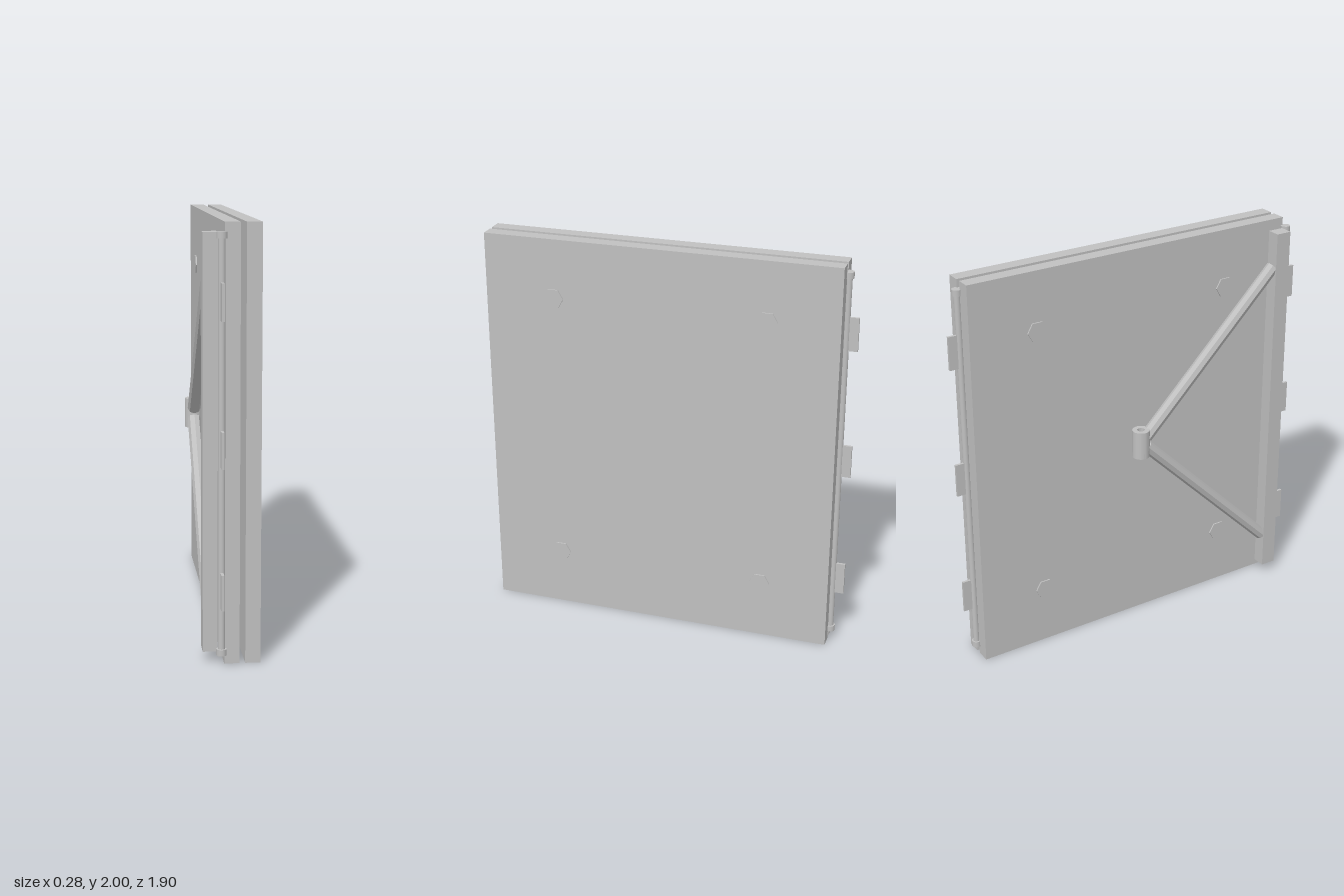
import * as THREE from 'three';

const metal = new THREE.MeshStandardMaterial({ color: 0xc0c0c0 });

function add(parent, name, geometry, x = 0, y = 0, z = 0) {
  const mesh = new THREE.Mesh(geometry, metal);
  mesh.name = name;
  mesh.position.set(x, y, z);
  parent.add(mesh);
  return mesh;
}

// Straight prism with hard facets
function prism(radius, height, sides) {
  const g = new THREE.CylinderGeometry(radius, radius, height, sides).toNonIndexed();
  g.computeVertexNormals();
  return g;
}

// Full-height pin with end caps and three leaves
function hinge(name, x, z) {
  const group = new THREE.Group();
  group.name = name;
  add(group, 'hingePin', new THREE.CylinderGeometry(0.016, 0.016, 1.89, 16), 0, 1.003);
  for (const y of [0.06, 1.945]) add(group, 'pinCap', new THREE.CylinderGeometry(0.024, 0.024, 0.03, 16), 0, y);
  for (const y of [0.353, 1.003, 1.657]) add(group, 'hingeLeaf', new THREE.BoxGeometry(0.013, 0.166, 0.118), 0, y);
  group.position.set(x, 0, z);
  return group;
}

// Hexagonal bolt heads on an outer face
function bolts(parent, x) {
  for (const y of [0.303, 1.702]) for (const z of [-0.535, 0.535]) {
    const bolt = add(parent, 'boltHead', prism(0.0525, 0.02, 6), x, y, z);
    bolt.rotation.z = Math.PI / 2;
  }
}

// Octagonal bar between two points in the plane of the handle
function brace(parent, name, x, start, end) {
  const a = new THREE.Vector3(x, ...start);
  const b = new THREE.Vector3(x, ...end);
  const bar = add(parent, name, prism(0.032, a.distanceTo(b), 8));
  bar.position.copy(a).lerp(b, 0.5);
  bar.quaternion.setFromUnitVectors(new THREE.Vector3(0, 1, 0), b.sub(a).normalize());
}

export function createModel() {
  const model = new THREE.Group();
  model.name = 'foldingPanels';

  // Two folded panels
  const panel = new THREE.BoxGeometry(0.07, 2, 1.77);
  add(model, 'innerPanel', panel, 0, 1);
  add(model, 'outerPanel', panel, 0.096, 1);
  bolts(model, -0.032);
  bolts(model, 0.128);

  // Hinges on opposite edges
  model.add(hinge('backHinge', 0.048, -0.893), hinge('frontHinge', -0.049, 0.893));

  // Support post with two braces meeting at a sleeve
  const support = new THREE.Group();
  support.name = 'support';
  const x = -0.097;
  add(support, 'post', new THREE.BoxGeometry(0.068, 1.905, 0.08), x, 1.003, 0.82);
  brace(support, 'upperBrace', x, [1.03, 0.03], [1.777, 0.785]);
  brace(support, 'lowerBrace', x, [0.98, 0.03], [0.233, 0.785]);

  // Hollow sleeve, closed ring profile
  const ring = new THREE.Shape().absarc(0, 0, 0.044, 0, Math.PI * 2);
  ring.holes.push(new THREE.Path().absarc(0, 0, 0.019, 0, Math.PI * 2, true));
  const sleeve = new THREE.ExtrudeGeometry(ring, { depth: 0.145, bevelEnabled: false, curveSegments: 16 });
  sleeve.rotateX(-Math.PI / 2);
  add(support, 'sleeve', sleeve, x, 0.932, 0);
  model.add(support);

  return model;
}
